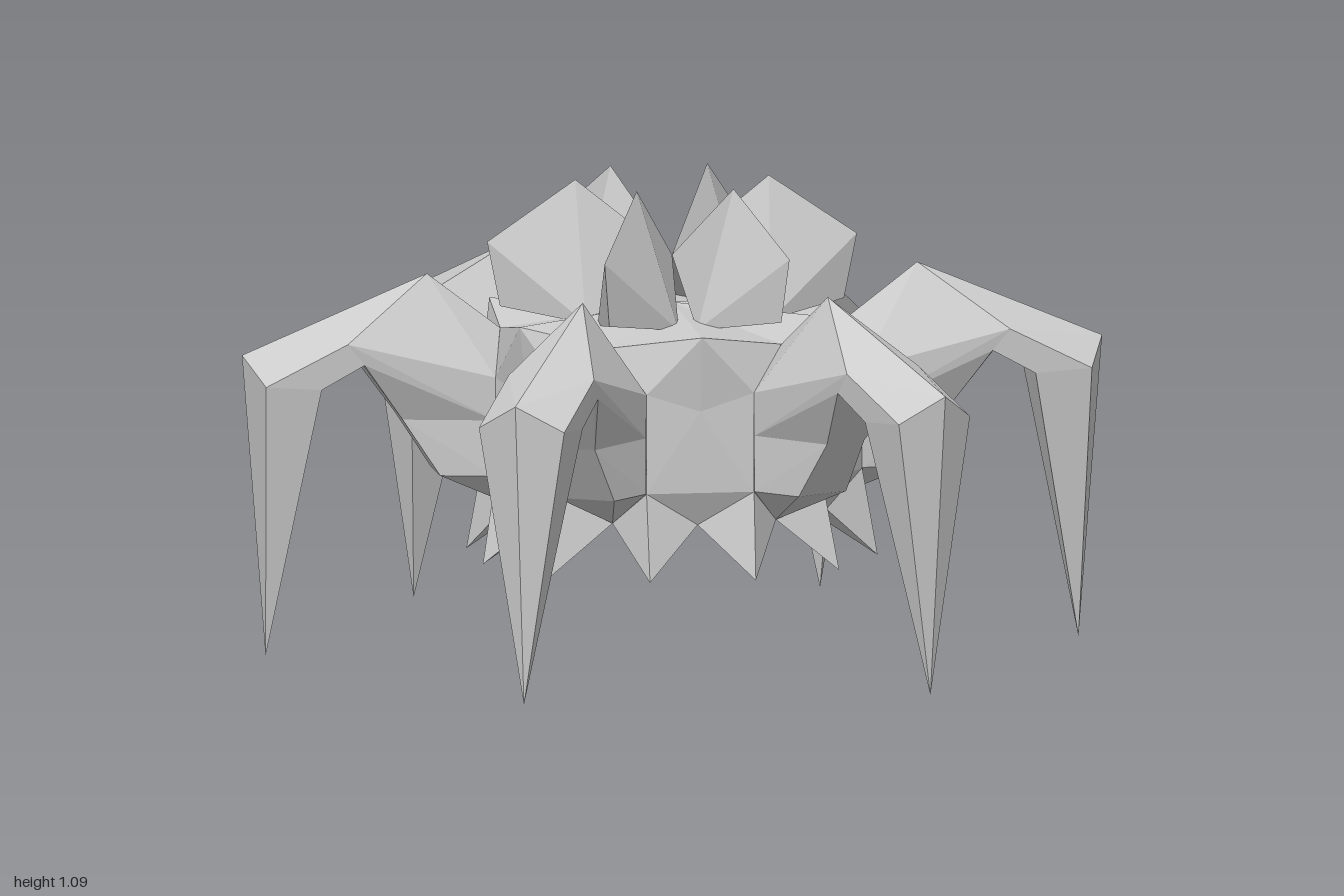
import * as THREE from 'three';
import { ConvexGeometry } from 'three/addons/geometries/ConvexGeometry.js';

const material = new THREE.MeshStandardMaterial({ color: 0xcccccc, flatShading: true });

// Faceted solid from [radius, height, sideways] points; a sideways value is mirrored.
function hull(name, points) {
  const all = [];
  for (const [r, y, w] of points) {
    all.push(new THREE.Vector3(r, y, w));
    if (w) all.push(new THREE.Vector3(r, y, -w));
  }
  const mesh = new THREE.Mesh(new ConvexGeometry(all), material);
  mesh.name = name;
  return mesh;
}

// Body shell: half a sector, mirrored and turned six times.
function makeBody() {
  const p = {
    crown: [0, 0.8, 0], rimTip: [0.45, 0.785, 0], rimDip: [0.346, 0.75, 0.2],
    wallTop: [0.42, 0.65, 0.125], wallMid: [0.425, 0.61, 0],
    wallLow: [0.42, 0.42, 0.125], wallLowMid: [0.42, 0.42, 0], legLow: [0.364, 0.42, 0.21],
    gapA: [0.38, 0.34, 0], gapB: [0.329, 0.34, 0.19], tooth: [0.459, 0.22, 0.123],
    innerA: [0.22, 0.4, 0], innerB: [0.19, 0.4, 0.11], belly: [0, 0.4, 0],
  };
  const faces = [
    // roof and overhanging rim
    'crown rimDip rimTip', 'rimTip rimDip wallTop', 'rimTip wallTop wallMid',
    // upright wall
    'wallMid wallTop wallLow', 'wallMid wallLow wallLowMid',
    // skirt and teeth
    'wallLowMid wallLow gapA', 'gapA wallLow tooth', 'wallLow gapB tooth', 'wallLow legLow gapB',
    // hollow underside
    'innerA gapA tooth', 'innerA tooth gapB', 'innerA gapB innerB', 'belly innerA innerB',
  ].map((f) => f.split(' '));

  const position = [];
  for (let k = 0; k < 6; k++) {
    const a = Math.PI / 6 + (k * Math.PI) / 3, c = Math.cos(a), s = Math.sin(a);
    for (const side of [1, -1]) {
      for (const face of faces) {
        const order = side > 0 ? face : [...face].reverse();
        for (const key of order) {
          const [u, y, v] = p[key];
          position.push(u * c - v * side * s, y, u * s + v * side * c);
        }
      }
    }
  }
  const geometry = new THREE.BufferGeometry();
  geometry.setAttribute('position', new THREE.Float32BufferAttribute(position, 3));
  geometry.computeVertexNormals();
  const mesh = new THREE.Mesh(geometry, material);
  mesh.name = 'body';
  return mesh;
}

function makeLeg() {
  const peak = [0.57, 0.88, 0];
  const side = [0.77, 0.735, 0.105];
  const under = [0.73, 0.685, 0.1];
  const knee = [[1, 0.7, 0], [0.96, 0.64, 0.105], [0.83, 0.63, 0.1]];
  const leg = new THREE.Group();
  leg.name = 'leg';
  leg.add(
    // thigh, rising out of the body
    hull('thigh', [[0.4, 0.75, 0], [0.426, 0.65, 0.102], [0.426, 0.55, 0.1], peak, side, under,
      [0.635, 0.55, 0.055]]),
    // socket under the thigh
    hull('legSocket', [[0.426, 0.56, 0.1], [0.426, 0.42, 0.1], [0.635, 0.55, 0.055],
      [0.55, 0.42, 0.07], [0.38, 0.34, 0]]),
    // upper leg from peak to knee
    hull('upperLeg', [peak, side, under, ...knee]),
    // tapering claw
    hull('claw', [...knee, [0.945, 0, 0]]),
  );
  return leg;
}

// Thick upright plate above each leg
function makeFin() {
  return hull('fin', [[0, 0.91, 0], [0.225, 1.09, 0], [0.43, 0.95, 0], [0.4, 0.8, 0],
    [0.216, 0.77, 0.1]]);
}

export function createModel() {
  const model = new THREE.Group();
  model.name = 'sixLeggedCreature';
  model.add(makeBody());
  for (let k = 0; k < 6; k++) {
    for (const part of [makeLeg(), makeFin()]) {
      part.rotation.y = (k * Math.PI) / 3;
      model.add(part);
    }
  }
  return model;
}
